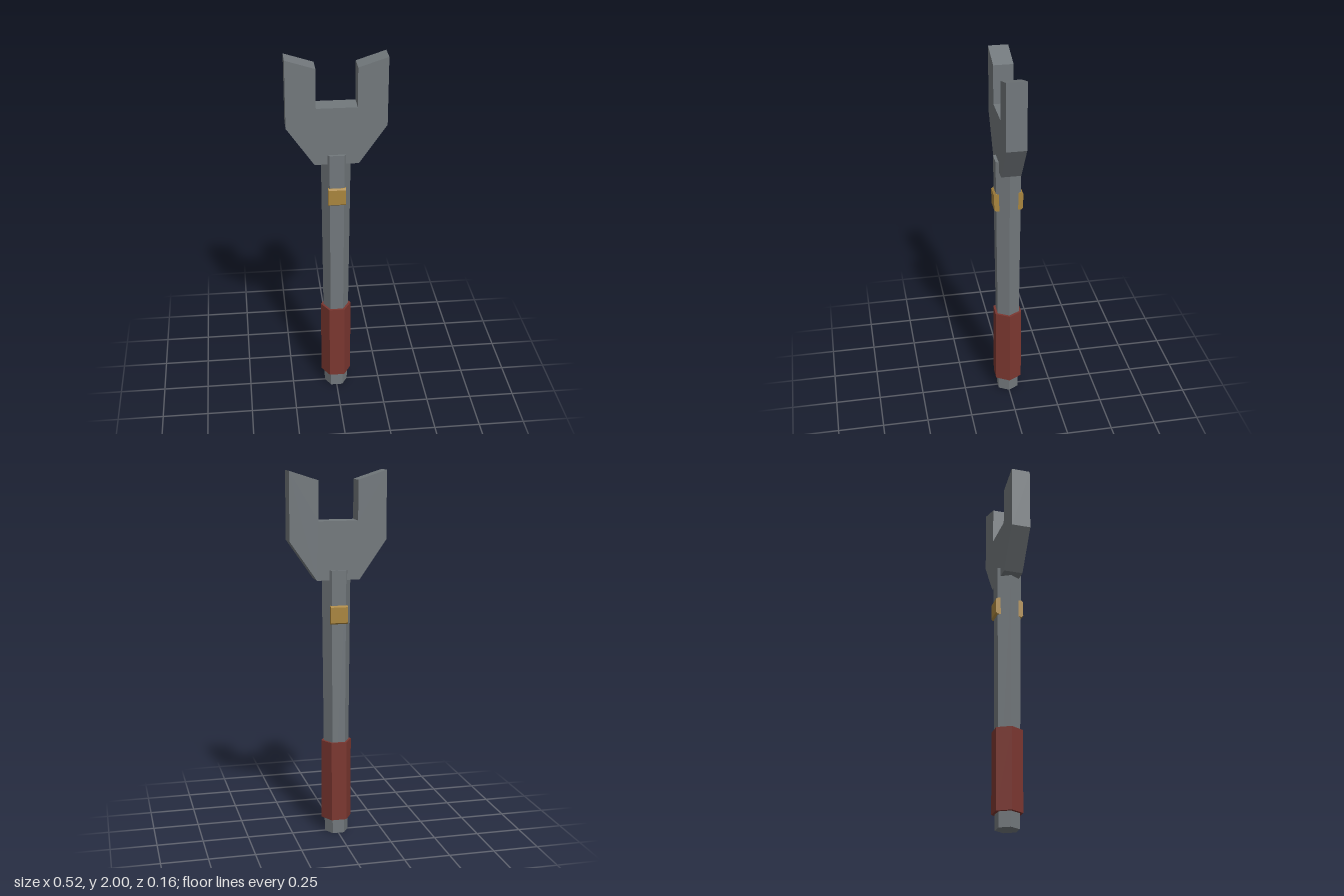
import * as THREE from 'three';

const flat = (name, color) => {
  const m = new THREE.MeshStandardMaterial({ color, flatShading: true });
  m.name = name;
  return m;
};

export function createModel() {
  const steel = flat('steel', 0x72787c);
  const red = flat('gripRed', 0x7b3730);
  const brass = flat('brass', 0xa9853e);
  const model = new THREE.Group();
  model.name = 'wrench';

  const add = (name, geometry, material) => {
    const mesh = new THREE.Mesh(geometry, material);
    mesh.name = name;
    model.add(mesh);
    return mesh;
  };

  // Six-sided bar with corners on the x axis
  const hexBar = (rTop, rBottom, y0, y1) =>
    new THREE.CylinderGeometry(rTop, rBottom, y1 - y0, 6)
      .rotateY(Math.PI / 2)
      .translate(0, (y0 + y1) / 2, 0);

  // Extrude an outline, centred on its depth
  const plate = (points, depth) =>
    new THREE.ExtrudeGeometry(new THREE.Shape(points.map(([x, y]) => new THREE.Vector2(x, y))), {
      depth, bevelEnabled: false,
    }).translate(0, 0, -depth / 2);

  // Tapered shaft and its grip
  add('shaft', hexBar(0.079, 0.065, 0, 1.478), steel);
  add('grip', hexBar(0.084, 0.084, 0.083, 0.53), red);

  // Open jaw: half outline mirrored across x
  const half = [[0.116, 1.425], [0.262, 1.635], [0.262, 2], [0.107, 1.95], [0.107, 1.738]];
  const mirrored = half.map(([x, y]) => [-x, y]).reverse();
  add('jaw', plate([...half, ...mirrored], 0.106), steel);

  // Chamfered block through the shaft, showing at front and back
  const block = [
    [-0.068, 1.19], [0.068, 1.19], [0.078, 1.198], [0.078, 1.282],
    [0.068, 1.29], [-0.068, 1.29], [-0.078, 1.282], [-0.078, 1.198],
  ];
  add('adjusterBlock', plate(block, 0.094).rotateY(Math.PI / 2), brass);

  return model;
}
